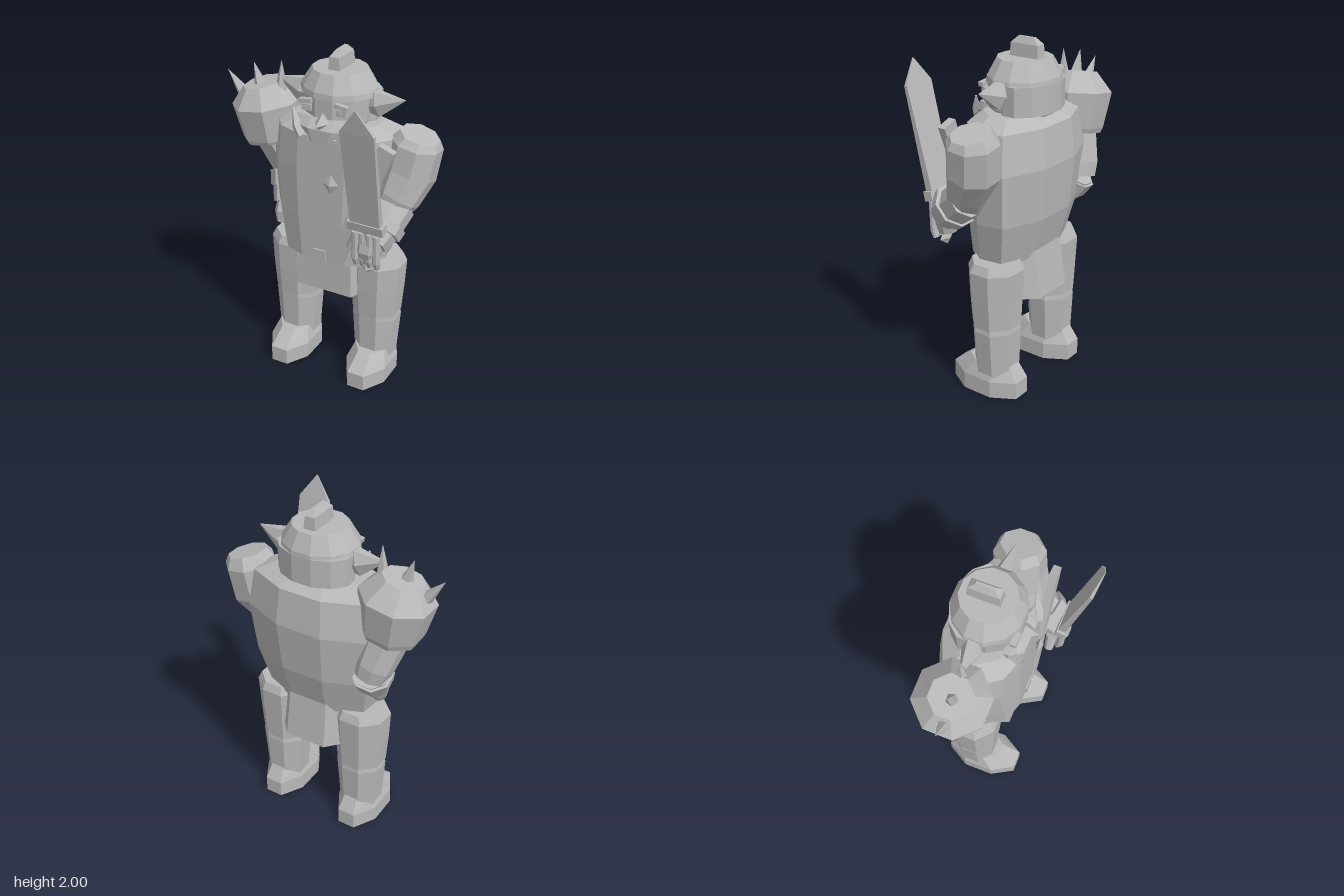
import * as THREE from 'three';

const V = (x, y, z) => new THREE.Vector3(x, y, z);
const CX = 0.0625; // symmetry plane of the body

// Cross-sections, listed from the front towards +x
const mirrorX = (h) => [...h, ...h.slice().reverse().map(([x, z]) => [-x, z])];
const OCT = mirrorX([[0.41, 1], [1, 0.41], [1, -0.41], [0.41, -1]]);
const TORSO = mirrorX([[0.36, 1], [0.72, 0.78], [1, 0.12], [0.95, -0.58], [0.34, -1]]);
const SKIRT = mirrorX([[0.85, 1], [1, 0.6], [1, -0.5], [0.6, -1]]);
const ROUND = mirrorX([[0.27, 1], [0.72, 0.73], [1, 0.27], [1, -0.27], [0.72, -0.73], [0.27, -1]]);
const RECT = mirrorX([[1, 1], [1, -1]]);
const DIAMOND = [[0, 1], [1, 0], [0, -1], [-1, 0]];

// Closed skin through rings of points
function skin(rings) {
  const p = [];
  const tri = (...c) => c.forEach((v) => p.push(v.x, v.y, v.z));
  const n = rings[0].length;
  const mid = (r) => r.reduce((s, v) => s.add(v), V(0, 0, 0)).divideScalar(n);
  const last = rings[rings.length - 1];
  const c0 = mid(rings[0]), c1 = mid(last);
  for (let i = 0; i < n; i++) {
    const j = (i + 1) % n;
    for (let k = 0; k < rings.length - 1; k++) {
      const a = rings[k], b = rings[k + 1];
      tri(a[i], a[j], b[j]);
      tri(a[i], b[j], b[i]);
    }
    tri(c0, rings[0][j], rings[0][i]);
    tri(c1, last[i], last[j]);
  }
  const g = new THREE.BufferGeometry();
  g.setAttribute('position', new THREE.Float32BufferAttribute(p, 3));
  g.computeVertexNormals();
  return g;
}

// Upright loft: rows of [y, halfX, zFront, zBack]
const loft = (sec, rows, cx = 0) => skin(rows.map(([y, hx, zf, zb]) =>
  sec.map(([x, z]) => V(cx + x * hx, y, (zf + zb) / 2 + z * (zf - zb) / 2))));

// Limb along a path: rows of [x, y, z, radius]
function limb(rows, sec = OCT) {
  const pts = rows.map((r) => V(r[0], r[1], r[2]));
  return skin(rows.map((r, i) => {
    const t = pts[Math.min(i + 1, pts.length - 1)].clone().sub(pts[Math.max(i - 1, 0)]).normalize();
    const v = V(1, 0, 0).addScaledVector(t, -t.x).normalize();
    const u = v.clone().cross(t);
    return sec.map(([x, z]) => pts[i].clone().addScaledVector(v, x * r[3]).addScaledVector(u, z * r[3]));
  }));
}

export function createModel() {
  const model = new THREE.Group();
  model.name = 'armouredWarrior';
  const grey = new THREE.MeshStandardMaterial({ color: 0xb8b8b8, flatShading: true });
  grey.name = 'plainGrey';
  const add = (name, geo, parent = model) => {
    const m = new THREE.Mesh(geo, grey);
    m.name = name;
    parent.add(m);
    return m;
  };
  const box = (name, w, h, d, x, y, z, parent, rz = 0) => {
    const m = add(name, new THREE.BoxGeometry(w, h, d), parent);
    m.position.set(x, y, z);
    m.rotation.z = rz;
    return m;
  };
  const spike = (name, base, tip, r, sides, parent) => {
    const dir = tip.clone().sub(base);
    const m = add(name, new THREE.ConeGeometry(r, dir.length(), sides), parent);
    m.position.copy(base).addScaledVector(dir, 0.5);
    m.quaternion.setFromUnitVectors(V(0, 1, 0), dir.normalize());
    return m;
  };

  // Torso, skirt and belt
  add('torso', loft(TORSO, [
    [0.8, 0.325, 0.105, -0.27], [1.05, 0.38, 0.108, -0.335], [1.35, 0.41, 0.108, -0.362],
    [1.565, 0.375, 0.108, -0.335], [1.62, 0.26, 0.05, -0.25]], CX));
  add('skirt', loft(SKIRT, [[0.57, 0.21, 0.06, -0.325], [0.87, 0.2, 0.05, -0.28]], CX));
  box('beltBuckle', 0.08, 0.07, 0.02, CX, 0.835, 0.105);
  const gem = add('chestGem', new THREE.OctahedronGeometry(1));
  gem.scale.set(0.05, 0.058, 0.022);
  gem.position.set(0.145, 1.317, 0.135);
  box('scabbard', 0.093, 0.82, 0.045, 0.31, 1.2, 0.093, model, -0.37);

  // Legs and feet
  for (const s of [-1, 1]) {
    const leg = new THREE.Group();
    leg.name = s < 0 ? 'rightLeg' : 'leftLeg';
    model.add(leg);
    const x = CX + s * 0.264;
    add('thigh', loft(OCT, [[0.43, 0.135, 0.005, -0.255], [0.6, 0.148, 0.015, -0.262],
      [0.77, 0.156, 0.02, -0.27], [0.82, 0.132, 0.0, -0.25]], x), leg);
    add('shin', loft(OCT, [[0.11, 0.115, -0.01, -0.245], [0.4, 0.135, 0.0, -0.255],
      [0.44, 0.128, 0, -0.25]], x), leg);
    add('foot', loft(OCT, [[0, 0.128, 0.145, -0.3], [0.1, 0.128, 0.145, -0.3],
      [0.19, 0.098, 0.035, -0.245]], x), leg);
  }

  // Head with jaw, helmet, crest and horns
  const head = new THREE.Group();
  head.name = 'head';
  model.add(head);
  add('face', loft(ROUND, [[1.53, 0.12, 0.055, -0.24], [1.63, 0.19, 0.068, -0.3],
    [1.78, 0.2, 0.068, -0.305]], CX), head);
  add('jaw', loft(OCT, [[1.53, 0.115, 0.112, 0], [1.61, 0.17, 0.115, 0], [1.66, 0.17, 0.07, 0]], CX), head);
  add('helmet', loft(ROUND, [[1.77, 0.217, 0.073, -0.315], [1.8, 0.21, 0.07, -0.312],
    [1.895, 0.15, 0.025, -0.27]], CX), head);
  add('helmetBack', loft(ROUND, [[1.62, 0.215, -0.03, -0.315], [1.78, 0.217, -0.03, -0.315]], CX), head);
  add('helmetCrest', loft(RECT, [[1.88, 0.036, -0.045, -0.23], [1.965, 0.029, -0.05, -0.222],
    [2, 0.008, -0.085, -0.185]], CX), head);
  for (const s of [-1, 1]) {
    const at = (x, y, z) => V(CX + s * x, y, z);
    const horn = spike('horn', at(0.235, 1.73, -0.12), at(0.395, 1.775, -0.12), 0.08, 6, head);
    horn.scale.z = 0.7;
    const root = add('hornRoot', new THREE.CylinderGeometry(0.08, 0.05, 0.06, 6), head);
    root.position.copy(at(0.207, 1.722, -0.12));
    root.rotation.z = -s * 1.297;
    root.scale.z = 0.7;
    // Brows, eyes and tusks
    box('brow', 0.075, 0.025, 0.03, CX + s * 0.108, 1.745, 0.065, head, s * -0.12);
    box('eye', 0.055, 0.035, 0.03, CX + s * 0.105, 1.707, 0.055, head);
    box('pupil', 0.015, 0.018, 0.01, CX + s * 0.105, 1.707, 0.072, head);
    add('tusk', limb([[CX + s * 0.115, 1.55, 0.1, 0.03], [CX + s * 0.15, 1.6, 0.09, 0.03],
      [CX + s * 0.19, 1.69, 0.06, 0.006]], DIAMOND), head);
  }
  const nose = add('nose', new THREE.OctahedronGeometry(1), head);
  nose.scale.set(0.045, 0.055, 0.08);
  nose.position.set(CX, 1.64, 0.075);

  // Left arm, bent forward
  const leftArm = new THREE.Group();
  leftArm.name = 'leftArm';
  model.add(leftArm);
  add('upperArm', limb([[0.42, 1.14, -0.02, 0.085], [0.465, 1.24, -0.05, 0.115],
    [0.5, 1.37, -0.115, 0.138], [0.525, 1.54, -0.135, 0.135], [0.54, 1.592, -0.135, 0.105]]), leftArm);
  add('forearm', limb([[0.41, 1.04, 0.16, 0.085], [0.43, 1.11, 0.07, 0.105],
    [0.46, 1.2, -0.04, 0.105]]), leftArm);
  add('cuff', limb([[0.425, 1.09, 0.1, 0.118], [0.435, 1.13, 0.055, 0.122]]), leftArm);
  add('hand', limb([[0.4, 0.93, 0.16, 0.05], [0.4, 1.0, 0.165, 0.07], [0.41, 1.08, 0.15, 0.07]]), leftArm);
  for (let i = 0; i < 4; i++) {
    const x = 0.337 + i * 0.042;
    add('finger', limb([[x, 0.91, 0.185, 0.018], [x, 0.95, 0.2, 0.021], [x, 1.12, 0.21, 0.018]]), leftArm);
  }
  add('thumb', limb([[0.28, 0.97, 0.15, 0.025], [0.32, 1.06, 0.15, 0.03]]), leftArm);

  // Sword held upright, leaning forward
  const sword = new THREE.Group();
  sword.name = 'sword';
  sword.position.set(0.4, 1.155, 0.2);
  sword.rotation.x = 0.227;
  model.add(sword);
  add('blade', loft(RECT, [[0, 0.088, 0.022, -0.022], [0.61, 0.097, 0.01, -0.01],
    [0.745, 0.002, 0.002, -0.002]]), sword);
  box('guard', 0.21, 0.055, 0.055, 0, 0.005, 0, sword);
  add('grip', loft(OCT, [[-0.24, 0.025, 0.045, -0.005], [0, 0.025, 0.025, -0.025]]), sword);
  add('pommel', loft(DIAMOND, [[-0.3, 0.004, 0.034, 0.026], [-0.265, 0.05, 0.065, -0.005],
    [-0.235, 0.03, 0.05, 0]]), sword);

  // Right arm, drawn back with the elbow behind the body
  const rightArm = new THREE.Group();
  rightArm.name = 'rightArm';
  model.add(rightArm);
  add('upperArm', limb([[-0.315, 1.13, -0.24, 0.085], [-0.335, 1.2, -0.225, 0.1],
    [-0.39, 1.42, -0.15, 0.115]]), rightArm);
  add('forearm', limb([[-0.285, 0.98, -0.12, 0.075], [-0.315, 1.15, -0.22, 0.1]]), rightArm);
  add('cuff', limb([[-0.3, 1.06, -0.17, 0.1], [-0.315, 1.14, -0.215, 0.112]]), rightArm);
  add('hand', limb([[-0.285, 0.87, -0.07, 0.035], [-0.285, 0.93, -0.09, 0.055],
    [-0.29, 0.99, -0.12, 0.05]]), rightArm);

  // Spiked shoulder guard
  add('shoulderGuard', limb([[-0.38, 1.385, -0.14, 0.155], [-0.385, 1.41, -0.14, 0.165],
    [-0.41, 1.61, -0.135, 0.197], [-0.435, 1.715, -0.125, 0.11]]), rightArm);
  spike('shoulderSpike', V(-0.55, 1.62, -0.115), V(-0.66, 1.757, -0.11), 0.042, 5, rightArm);
  spike('shoulderSpike', V(-0.44, 1.69, -0.115), V(-0.485, 1.83, -0.115), 0.04, 5, rightArm);
  spike('shoulderSpike', V(-0.31, 1.66, -0.12), V(-0.305, 1.87, -0.12), 0.045, 5, rightArm);
  return model;
}
